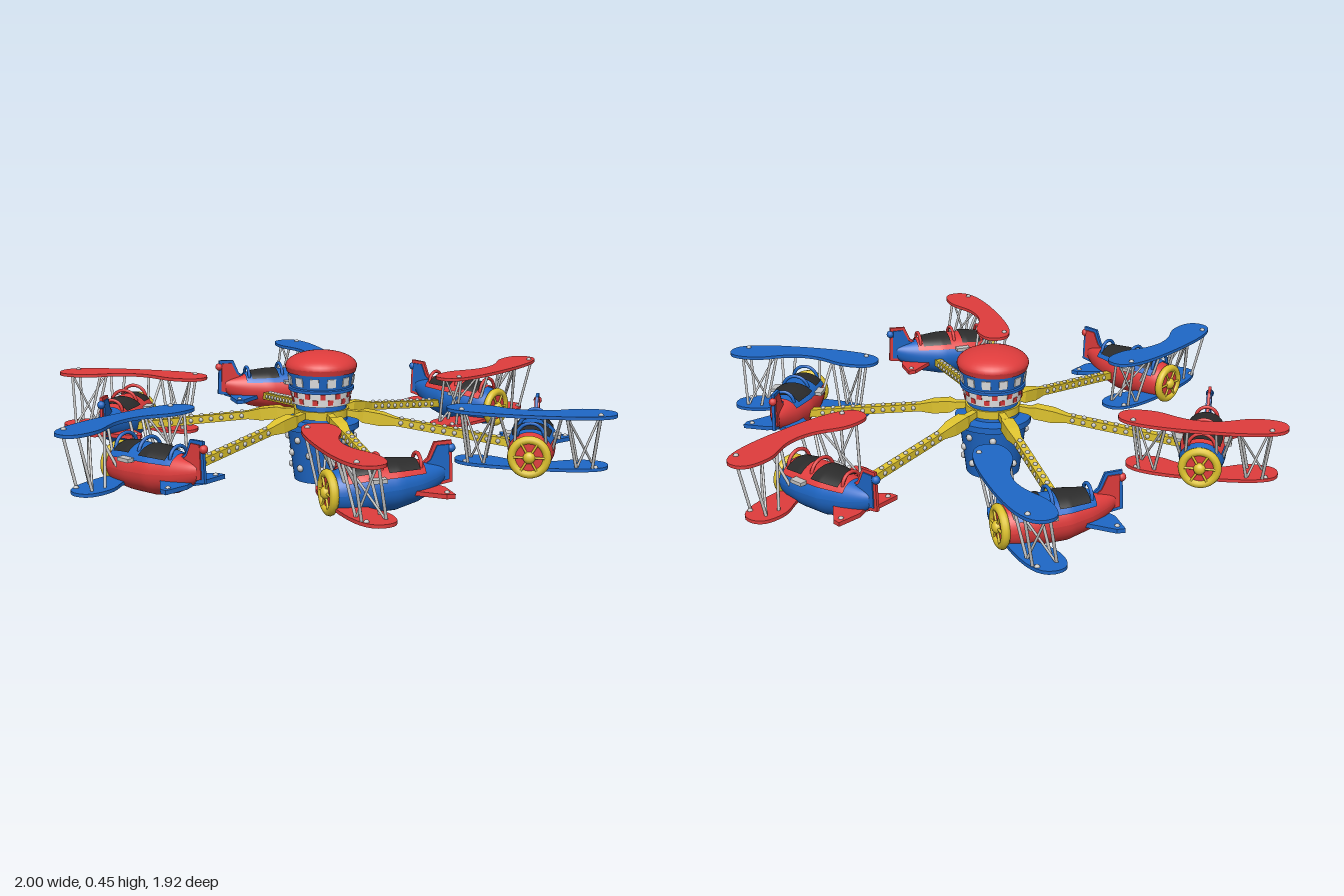
import * as THREE from 'three';
import { mergeGeometries } from 'three/addons/utils/BufferGeometryUtils.js';

const mat = (name, color, side = THREE.FrontSide) => {
  const m = new THREE.MeshStandardMaterial({ color, side });
  m.name = name;
  return m;
};
const V = (x, y, z) => new THREE.Vector3(x, y, z);

function add(parent, name, geometry, material) {
  const m = new THREE.Mesh(geometry, material);
  m.name = name;
  parent.add(m);
  return m;
}

// Thin rod between two points
function rod(a, b, r) {
  const d = b.clone().sub(a);
  const g = new THREE.CylinderGeometry(r, r, d.length(), 8);
  g.applyQuaternion(new THREE.Quaternion().setFromUnitVectors(V(0, 1, 0), d.normalize()));
  return g.translate((a.x + b.x) / 2, (a.y + b.y) / 2, (a.z + b.z) / 2);
}

const box = (w, h, d, x, y, z) => new THREE.BoxGeometry(w, h, d).translate(x, y, z);
const studs = (points, r) => mergeGeometries(points.map(p => new THREE.SphereGeometry(r, 10, 8).translate(p.x, p.y, p.z)));

// Fuselage sections: [z, half width, bottom, middle, top]
const sections = [[-0.165, 0.012, 0.165, 0.19, 0.21], [-0.14, 0.028, 0.145, 0.185, 0.218], [-0.08, 0.054, 0.11, 0.175, 0.232],
  [0, 0.076, 0.09, 0.17, 0.238], [0.1, 0.078, 0.088, 0.165, 0.238], [0.17, 0.068, 0.093, 0.162, 0.228], [0.2, 0.058, 0.103, 0.16, 0.218]];

function sectionAt(z) {
  const j = Math.max(1, sections.findIndex(s => s[0] >= z));
  const a = sections[j - 1], b = sections[j], t = (z - a[0]) / (b[0] - a[0]);
  return a.map((v, i) => v + (b[i] - v) * t);
}

// Fuselage skin between two stations and two angles, raised by an offset
function hull(z0, z1, a0, a1, offset = 0, n = 24) {
  const pos = [], idx = [], rows = 20;
  for (let j = 0; j <= rows; j++) {
    const [z, w, yb, ym, yt] = sectionAt(z0 + (z1 - z0) * j / rows);
    for (let i = 0; i <= n; i++) {
      const a = a0 + (a1 - a0) * i / n, s = Math.sin(a);
      pos.push((w + offset) * Math.cos(a), ym + s * ((s > 0 ? yt - ym : ym - yb) + offset), z);
      if (j && i) {
        const c = j * (n + 1) + i, p = c - n - 1;
        idx.push(p - 1, p, c, p - 1, c, c - 1);
      }
    }
  }
  const g = new THREE.BufferGeometry();
  g.setAttribute('position', new THREE.Float32BufferAttribute(pos, 3));
  g.setIndex(idx);
  g.computeVertexNormals();
  return g;
}

// Flat plate drawn in x-z, with its top at height y
const flat = (shape, depth, y) =>
  new THREE.ExtrudeGeometry(shape, { depth, bevelEnabled: false, curveSegments: 10 }).rotateX(Math.PI / 2).translate(0, y, 0);

const poly = pts => new THREE.Shape(pts.map(p => new THREE.Vector2(...p)));

// Bean-shaped wing with a shallow notch behind its middle
function wing(half, zc, y) {
  const s = new THREE.Shape();
  s.moveTo(0, zc + 0.07);
  s.bezierCurveTo(half * 0.55, zc + 0.07, half, zc + 0.055, half, zc - 0.01);
  s.bezierCurveTo(half, zc - 0.06, half * 0.85, zc - 0.07, half * 0.65, zc - 0.066);
  s.bezierCurveTo(half * 0.4, zc - 0.06, half * 0.35, zc - 0.015, 0, zc - 0.012);
  s.bezierCurveTo(-half * 0.35, zc - 0.015, -half * 0.4, zc - 0.06, -half * 0.65, zc - 0.066);
  s.bezierCurveTo(-half * 0.85, zc - 0.07, -half, zc - 0.06, -half, zc - 0.01);
  s.bezierCurveTo(-half, zc + 0.055, -half * 0.55, zc + 0.07, 0, zc + 0.07);
  return flat(s, 0.011, y);
}

// Upright fin drawn in z-y
const fin = (pts, t) => new THREE.ExtrudeGeometry(poly(pts.map(([z, y]) => [-z, y])), { depth: t, bevelEnabled: false })
  .translate(0, 0, -t / 2).rotateY(Math.PI / 2);

function planeParts() {
  const rods = [], dots = [], sides = [];
  for (const s of [-1, 1]) {
    for (const dz of [-0.035, 0.04]) {
      rods.push(rod(V(s * 0.2, 0.12, 0.13 + dz), V(s * 0.222, 0.3, 0.165 + dz), 0.005));
      rods.push(rod(V(s * 0.15, 0.12, 0.13 + dz), V(s * 0.115, 0.3, 0.165 + dz), 0.005));
    }
    rods.push(rod(V(s * 0.2, 0.12, 0.095), V(s * 0.115, 0.3, 0.205), 0.004));
    rods.push(rod(V(s * 0.15, 0.12, 0.17), V(s * 0.222, 0.3, 0.13), 0.004));
    rods.push(rod(V(s * 0.05, 0.2, 0.17), V(s * 0.045, 0.3, 0.2), 0.005));
    rods.push(rod(V(s * 0.07, 0.17, 0.13), V(s * 0.1, 0.3, 0.2), 0.005));
    dots.push(V(s * 0.222, 0.305, 0.195), V(s * 0.21, 0.124, 0.16), V(s * 0.1, 0.154, -0.135));
    sides.push(box(0.028, 0.012, 0.05, s * 0.08, 0.205, 0.075));
  }
  const spokes = [];
  for (let i = 0; i < 6; i++) {
    const a = i * Math.PI / 3;
    spokes.push(rod(V(0, 0.16, 0.212), V(0.055 * Math.cos(a), 0.16 + 0.055 * Math.sin(a), 0.212), 0.004));
  }
  const hoop = (r, y, z) => new THREE.TorusGeometry(r, 0.006, 8, 20, Math.PI).translate(0, y, z);
  return {
    skin: hull(-0.165, 0.2, 0, 2 * Math.PI, 0, 40),
    rim: hull(-0.09, 0.17, 0.5, Math.PI - 0.5, 0.006),
    seats: mergeGeometries([hull(-0.07, 0.035, 0.72, Math.PI - 0.72, 0.011), hull(0.08, 0.155, 0.75, Math.PI - 0.75, 0.011)]),
    hoops: mergeGeometries([hoop(0.046, 0.22, 0.052), hoop(0.044, 0.218, 0.162), hoop(0.036, 0.222, -0.078)]),
    upper: wing(0.275, 0.17, 0.306),
    lower: wing(0.25, 0.13, 0.125),
    stabilizer: flat(poly([[0, -0.03], [0.055, -0.05], [0.122, -0.125], [0.125, -0.152], [0.04, -0.155],
      [0, -0.14], [-0.04, -0.155], [-0.125, -0.152], [-0.122, -0.125], [-0.055, -0.05]]), 0.014, 0.156),
    fin: fin([[-0.07, 0.2], [-0.12, 0.235], [-0.14, 0.278], [-0.178, 0.278], [-0.182, 0.17], [-0.13, 0.16]], 0.018),
    trim: fin([[-0.06, 0.2], [-0.112, 0.24], [-0.132, 0.288], [-0.188, 0.29], [-0.194, 0.16], [-0.13, 0.15]], 0.01),
    knob: new THREE.SphereGeometry(0.014, 12, 8).translate(0, 0.265, -0.188),
    struts: mergeGeometries(rods),
    studs: studs(dots, 0.009),
    steps: mergeGeometries(sides),
    ring: mergeGeometries([new THREE.TorusGeometry(0.057, 0.014, 10, 32).translate(0, 0.16, 0.203), ...spokes,
      new THREE.SphereGeometry(0.02, 14, 10).scale(1, 1, 0.8).translate(0, 0.16, 0.212)]),
    face: new THREE.CylinderGeometry(0.058, 0.058, 0.012, 28).rotateX(Math.PI / 2).translate(0, 0.16, 0.202),
  };
}

export function createModel() {
  const model = new THREE.Group();
  model.name = 'airplaneRide';
  const red = mat('red paint', 0xdf3c3c, THREE.DoubleSide), blue = mat('blue paint', 0x1e67c6, THREE.DoubleSide);
  const yellow = mat('yellow paint', 0xdec32e), silver = mat('silver metal', 0xc4c4c4);
  const dark = mat('dark seat', 0x2b2b2b), white = mat('white paint', 0xececec);

  // Central tower
  const tower = new THREE.Group();
  tower.name = 'tower';
  model.add(tower);
  const lathe = (name, pts, m) => {
    const parts = pts.slice(1).map((p, i) => new THREE.LatheGeometry([pts[i], p].map(q => new THREE.Vector2(...q)), 40));
    return add(tower, name, mergeGeometries(parts), m);
  };
  lathe('base', [[0, 0], [0.093, 0], [0.108, 0.12], [0.116, 0.18], [0.131, 0.184], [0.131, 0.205], [0.09, 0.21], [0.085, 0.272]], blue);
  lathe('armCollar', [[0.08, 0.222], [0.094, 0.222], [0.094, 0.25], [0.08, 0.25]], yellow);
  lathe('checkerBand', [[0.08, 0.268], [0.098, 0.268], [0.104, 0.318]], white);
  lathe('cabin', [[0.1, 0.315], [0.112, 0.315], [0.112, 0.325], [0.107, 0.328], [0.115, 0.382]], blue);
  lathe('roofSkirt', [[0.11, 0.378], [0.118, 0.378], [0.123, 0.396]], red);
  const dome = new THREE.SphereGeometry(0.123, 36, 12, 0, Math.PI * 2, 0, Math.PI / 2).scale(1, 0.41, 1).translate(0, 0.395, 0);
  add(tower, 'domeRoof', dome, red);

  // Windows, checkers and studs around the tower
  const windows = [], checks = [], towerStuds = [];
  const around = (g, a, r, y) => g.translate(0, y, r).rotateY(a);
  for (let i = 0; i < 12; i++) windows.push(around(new THREE.BoxGeometry(0.03, 0.03, 0.008).rotateX(0.14), i * Math.PI / 6, 0.109, 0.352));
  for (let i = 0; i < 12; i++) for (const row of [0, 1])
    checks.push(around(new THREE.BoxGeometry(0.018, 0.018, 0.006).rotateX(0.12), (i + row / 2) * Math.PI / 6, 0.0985 + row * 0.003, 0.284 + row * 0.02));
  for (const [y, r, o] of [[0.05, 0.1, 0], [0.1, 0.106, 0.5], [0.15, 0.112, 0]])
    for (let i = 0; i < 8; i++) {
      const a = (i + o) * Math.PI / 4 + 0.2;
      towerStuds.push(V(r * Math.sin(a), y, r * Math.cos(a)));
    }
  add(tower, 'windows', mergeGeometries(windows), white);
  add(tower, 'checkers', mergeGeometries(checks), red);
  add(tower, 'towerStuds', studs(towerStuds, 0.012), silver);

  // Square arm along x, thicker near the tower
  const armProfile = [[0.015, 0], [0.018, 0.05], [0.03, 0.07], [0.03, 0.13], [0.019, 0.18], [0.019, 0.6], [0, 0.6]];
  const arm = new THREE.LatheGeometry(armProfile.map(p => new THREE.Vector2(...p)), 4)
    .rotateY(Math.PI / 4).rotateZ(-Math.PI / 2).toNonIndexed();
  arm.computeVertexNormals();
  const armDots = [];
  for (let i = 0; i < 10; i++) {
    const x = 0.2 + i * 0.037;
    armDots.push(V(x, 0.013, 0), V(x, 0, 0.012), V(x, 0, -0.012));
  }
  const armStuds = studs(armDots, 0.008);

  const p = planeParts();
  for (let k = 0; k < 6; k++) {
    const unit = new THREE.Group();
    unit.name = 'armAndPlane' + (k + 1);
    unit.rotation.y = k * Math.PI / 3;
    model.add(unit);

    const armGroup = new THREE.Group();
    armGroup.name = 'arm';
    armGroup.position.set(0.08, 0.236, 0);
    armGroup.rotation.z = -0.14;
    add(armGroup, 'armTube', arm, yellow);
    add(armGroup, 'armStuds', armStuds, silver);
    unit.add(armGroup);

    const plane = new THREE.Group();
    plane.name = 'biplane';
    plane.position.set(0.725, 0, k % 3 ? 0.018 : 0);
    unit.add(plane);
    const [main, second] = k % 2 ? [red, blue] : [blue, red];
    add(plane, 'upperWing', p.upper, main);
    add(plane, 'lowerWing', p.lower, main);
    add(plane, 'fuselage', p.skin, second);
    add(plane, 'cockpitRim', p.rim, main);
    add(plane, 'seats', p.seats, dark);
    add(plane, 'cockpitHoops', p.hoops, main);
    add(plane, 'tailplane', p.stabilizer, main);
    add(plane, 'fin', p.fin, second);
    add(plane, 'finTrim', p.trim, main);
    add(plane, 'finKnob', p.knob, second);
    add(plane, 'wingStruts', p.struts, silver);
    add(plane, 'wingStuds', p.studs, silver);
    add(plane, 'sideSteps', p.steps, silver);
    add(plane, 'noseRing', p.ring, yellow);
    add(plane, 'noseFace', p.face, red);
  }
  return model;
}
